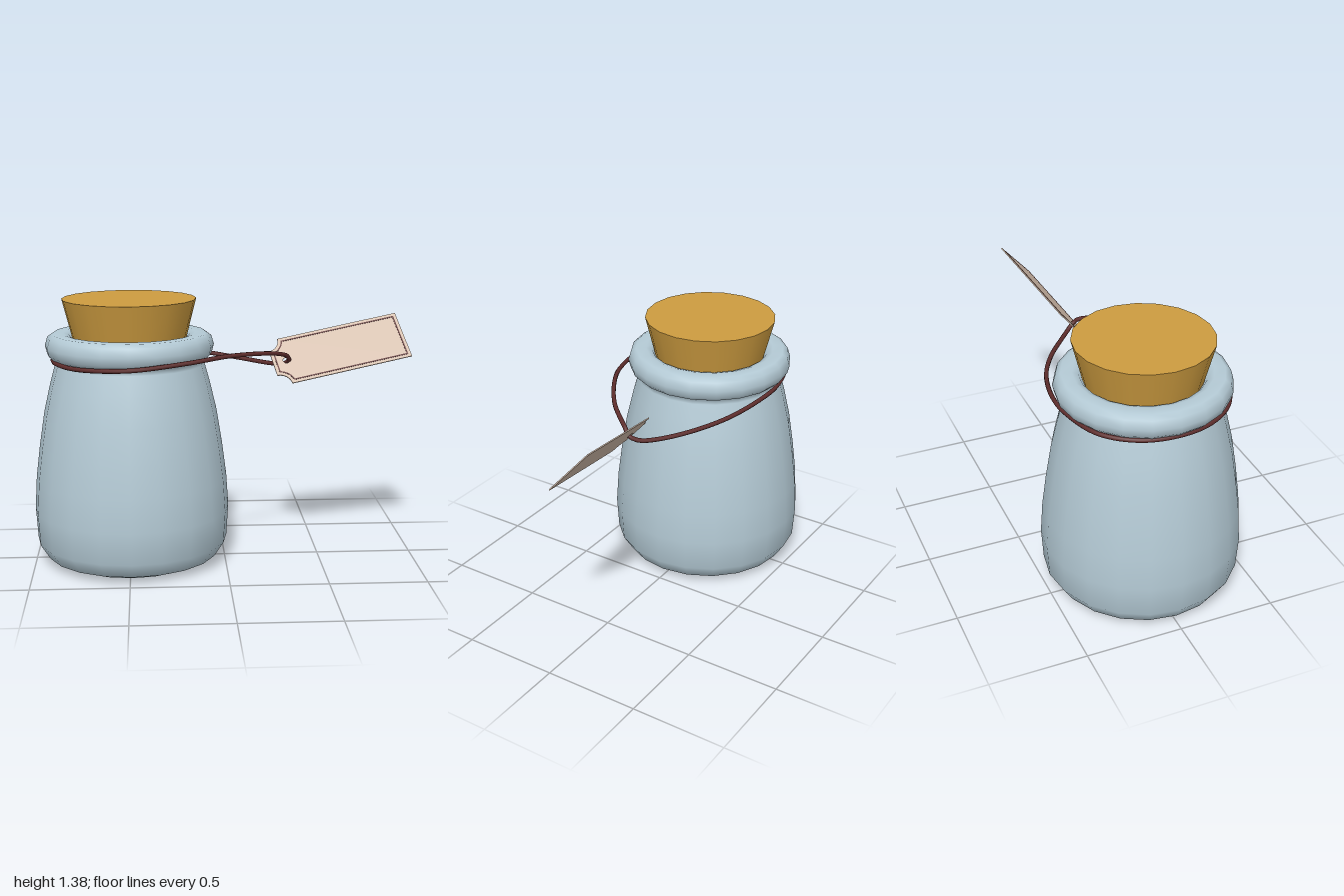
import * as THREE from 'three';

const mat = (name, color) => {
  const m = new THREE.MeshStandardMaterial({ color });
  m.name = name;
  return m;
};

// Rectangle with scooped left corners, inset by d from the full tag size
const W = 0.726, H = 0.277, NOTCH = 0.063;
function tagOutline(d, Type) {
  const s = new Type(), r = NOTCH + d;
  const a = Math.asin(d / r), reach = r * Math.cos(a);
  s.moveTo(reach, d);
  s.lineTo(W - d, d);
  s.lineTo(W - d, H - d);
  s.lineTo(reach, H - d);
  s.absarc(0, H, r, -a, -Math.PI / 2 + a, true);
  s.lineTo(d, reach);
  s.absarc(0, 0, r, Math.PI / 2 - a, a, true);
  return s;
}

export function createModel() {
  const glass = mat('pale blue glaze', 0xb5cbd6);
  const corkMat = mat('cork', 0xcd9c40);
  const paper = mat('beige paper', 0xd4beac);
  const cordMat = mat('dark red cord', 0x5e2d2c);

  const model = new THREE.Group();
  const add = (parent, name, geometry, material) => {
    const mesh = new THREE.Mesh(geometry, material);
    mesh.name = name;
    parent.add(mesh);
    return mesh;
  };
  const cx = -0.49;

  // Jar: body, neck and rolled lip in one profile
  const profile = [
    [0, 0], [0.34, 0], [0.365, 0.003], [0.45, 0.037], [0.5, 0.115], [0.51, 0.28],
    [0.499, 0.45], [0.477, 0.62], [0.448, 0.8], [0.413, 0.95], [0.385, 1.05],
    [0.378, 1.075], [0.405, 1.085], [0.425, 1.105], [0.435, 1.145],
    [0.422, 1.19], [0.395, 1.209], [0.34, 1.21], [0.31, 1.2], [0.29, 1.17],
  ].map(([x, y]) => new THREE.Vector2(x, y));
  add(model, 'jar', new THREE.LatheGeometry(profile, 20), glass).position.x = cx;

  // Tapered cork stopper
  const cork = add(model, 'cork', new THREE.CylinderGeometry(0.345, 0.288, 0.225, 20), corkMat);
  cork.position.set(cx, 1.2725, 0);

  // Cord: around the neck and through the hole in the tag
  const path = new THREE.CatmullRomCurve3([
    [0.342, 1.05, -0.035], [0.33, 1.073, -0.015], [0.29, 1.093, 0.04], [0.2, 1.115, 0.14],
    [0, 1.126, 0.28], [-0.2, 1.11, 0.375], [-0.49, 1.085, 0.428], [-0.73, 1.076, 0.34],
    [-0.85, 1.075, 0.18], [-0.885, 1.075, 0], [-0.85, 1.075, -0.18], [-0.73, 1.076, -0.33],
    [-0.5, 1.077, -0.408], [-0.34, 1.07, -0.408], [-0.1, 1.045, -0.35], [0.1, 1.025, -0.25],
    [0.25, 1.015, -0.14], [0.315, 1.022, -0.08],
  ].map((p) => new THREE.Vector3(...p)), true);
  add(model, 'cord', new THREE.TubeGeometry(path, 120, 0.0115, 8, true), cordMat);

  // Tag: built flat, then tilted onto its own axes
  const tag = new THREE.Group();
  tag.name = 'tag';
  const u = new THREE.Vector3(0.705, 0.13, -0.112).normalize();
  const n = u.clone().cross(new THREE.Vector3(-0.06, 0.205, -0.177)).normalize();
  const v = n.clone().cross(u);
  tag.quaternion.setFromRotationMatrix(new THREE.Matrix4().makeBasis(u, v, n));
  tag.position.set(0.29, 0.93, 0.063);
  model.add(tag);

  const card = tagOutline(0, THREE.Shape);
  card.holes.push(new THREE.Path().absarc(0.073, 0.14, 0.018, 0, Math.PI * 2, true));
  const cardGeo = new THREE.ExtrudeGeometry(card, { depth: 0.006, bevelEnabled: false, curveSegments: 8 });
  add(tag, 'tagCard', cardGeo, paper).position.z = -0.003;

  // Thin printed border on the front of the tag
  const border = tagOutline(0.016, THREE.Shape);
  border.holes.push(tagOutline(0.023, THREE.Path));
  const borderGeo = new THREE.ExtrudeGeometry(border, { depth: 0.002, bevelEnabled: false, curveSegments: 8 });
  add(tag, 'tagBorder', borderGeo, cordMat).position.z = 0.0025;

  return model;
}
